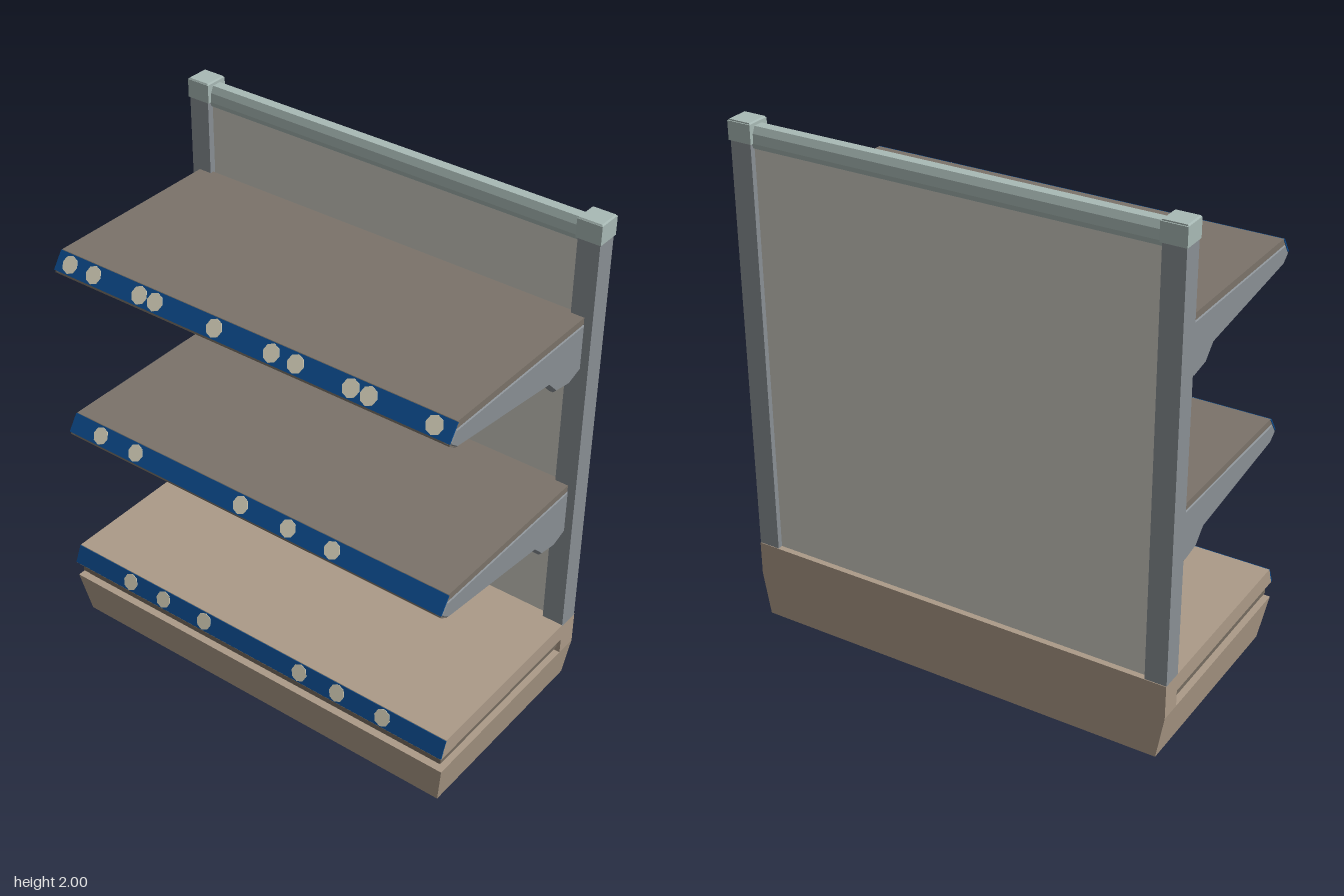
import * as THREE from 'three';

const mat = (name, color) => {
  const m = new THREE.MeshStandardMaterial({ color });
  m.name = name;
  return m;
};

export function createModel() {
  const root = new THREE.Group();
  root.name = 'storeShelf';
  const tan = mat('tan base', 0xac9b88);
  const groove = mat('groove brown', 0x766c60);
  const steel = mat('steel grey', 0x8a9095);
  const trim = mat('pale green trim', 0xa9bab6);
  const board = mat('cream panel', 0xcecdc4);
  const shelfMat = mat('shelf brown', 0x7b736a);
  const blue = mat('blue strip', 0x0b4a8c);
  const cream = mat('cream tag', 0xd8d3bc);

  const add = (parent, name, geo, material) => {
    const m = new THREE.Mesh(geo, material);
    m.name = name;
    parent.add(m);
    return m;
  };

  // Box between limits; bottom corners can be pulled in for a taper
  const block = (x0, x1, y0, y1, z, bottomX0 = x0, bottomZ = z) => {
    const g = new THREE.BoxGeometry(1, 1, 1).toNonIndexed();
    const p = g.attributes.position;
    for (let i = 0; i < p.count; i++) {
      const low = p.getY(i) < 0;
      const zz = low ? bottomZ : z;
      p.setXYZ(i, p.getX(i) < 0 ? (low ? bottomX0 : x0) : x1, low ? y0 : y1, p.getZ(i) < 0 ? -zz : zz);
    }
    g.computeVertexNormals();
    return g;
  };

  // Profile in x/y extruded along z, centred on z = 0
  const extrude = (pts, length, bevel = 0) => {
    const g = new THREE.ExtrudeGeometry(new THREE.Shape(pts.map(([x, y]) => new THREE.Vector2(x, y))), {
      depth: length - 2 * bevel, bevelEnabled: bevel > 0, bevelThickness: bevel,
      bevelSize: bevel, bevelOffset: -bevel, bevelSegments: 1,
    });
    return g.translate(0, 0, -length / 2 + bevel);
  };

  // Base: tapered plinth, recessed groove with a rib, upper deck
  const base = new THREE.Group();
  base.name = 'base';
  root.add(base);
  add(base, 'plinth', block(-0.43, 0.425, 0, 0.175, 0.86, -0.4, 0.83), tan);
  add(base, 'baseGroove', block(-0.4, 0.345, 0.17, 0.245, 0.83), groove);
  add(base, 'grooveRib', block(-0.415, 0.345, 0.195, 0.22, 0.845), groove);
  add(base, 'baseBack', block(0.34, 0.425, 0.175, 0.24, 0.86), tan);
  add(base, 'baseDeck', block(-0.405, 0.425, 0.24, 0.31, 0.86, -0.435), tan);

  // Back wall: panel, posts with caps, top rail
  const wall = new THREE.Group();
  wall.name = 'backWall';
  root.add(wall);
  add(wall, 'panel', block(0.365, 0.402, 0.31, 1.92, 0.785), board);
  add(wall, 'topRail', extrude([
    [0.358, 1.905], [0.408, 1.905], [0.416, 1.925], [0.414, 1.96], [0.402, 1.985], [0.364, 1.985], [0.352, 1.96], [0.35, 1.925],
  ], 1.56), trim);
  for (const s of [-1, 1]) {
    const post = add(wall, 'post', new THREE.BoxGeometry(0.083, 1.63, 0.084), steel);
    post.position.set(0.381, 1.12, s * 0.818);
    const cap = add(wall, 'postCap', new THREE.BoxGeometry(0.093, 0.07, 0.094), trim);
    cap.position.set(0.382, 1.96, s * 0.817);
    const capTop = add(wall, 'postCapTop', block(-0.042, 0.042, 0, 0.006, 0.042, -0.046, 0.046), trim);
    capTop.position.set(0.382, 1.994, s * 0.817);
  }

  // Slanted blue strip from lower to upper edge, with round tags on it
  const priceStrip = (parent, [x0, y0], [x1, y1], halfZ, tags) => {
    const g = new THREE.Group();
    g.name = 'priceStrip';
    g.position.set((x0 + x1) / 2, (y0 + y1) / 2, 0);
    g.rotation.z = Math.atan2(y1 - y0, x1 - x0) - Math.PI / 2;
    parent.add(g);
    const h = Math.hypot(x1 - x0, y1 - y0);
    add(g, 'stripFace', new THREE.BoxGeometry(0.006, h, halfZ * 2), blue);
    for (const z of tags) {
      const tag = add(g, 'tag', new THREE.CylinderGeometry(0.033, 0.033, 0.004, 8), cream);
      tag.rotation.z = Math.PI / 2;
      tag.position.set(-0.0035, 0, z);
    }
  };
  priceStrip(base, [-0.435, 0.243], [-0.406, 0.308], 0.86, [-0.585, -0.42, -0.22, 0.23, 0.4, 0.6]);

  // Two shelves, each carried by a pair of shaped brackets
  const shelf = (top, tags) => {
    const g = new THREE.Group();
    g.name = 'shelf';
    g.position.y = top;
    root.add(g);
    add(g, 'shelfBoard', extrude([
      [-0.39, 0], [-0.432, -0.06], [-0.432, -0.073], [-0.395, -0.098], [-0.36, -0.026], [0.355, -0.026], [0.355, 0],
    ], 1.656), shelfMat);
    for (const s of [-1, 1]) {
      const bracket = add(g, 'bracket', extrude([
        [-0.403, -0.02], [-0.434, -0.062], [-0.43, -0.075], [-0.395, -0.101], [0.135, -0.165],
        [0.185, -0.215], [0.27, -0.23], [0.345, -0.205], [0.345, -0.02],
      ], 0.034, 0.01), steel);
      bracket.position.z = s * 0.815;
    }
    priceStrip(g, [-0.433, -0.063], [-0.391, -0.002], 0.83, tags);
  };
  shelf(0.945, [-0.69, -0.52, -0.03, 0.18, 0.37]);
  shelf(1.64, [-0.77, -0.66, -0.45, -0.38, -0.12, 0.12, 0.22, 0.44, 0.51, 0.76]);

  return root;
}
